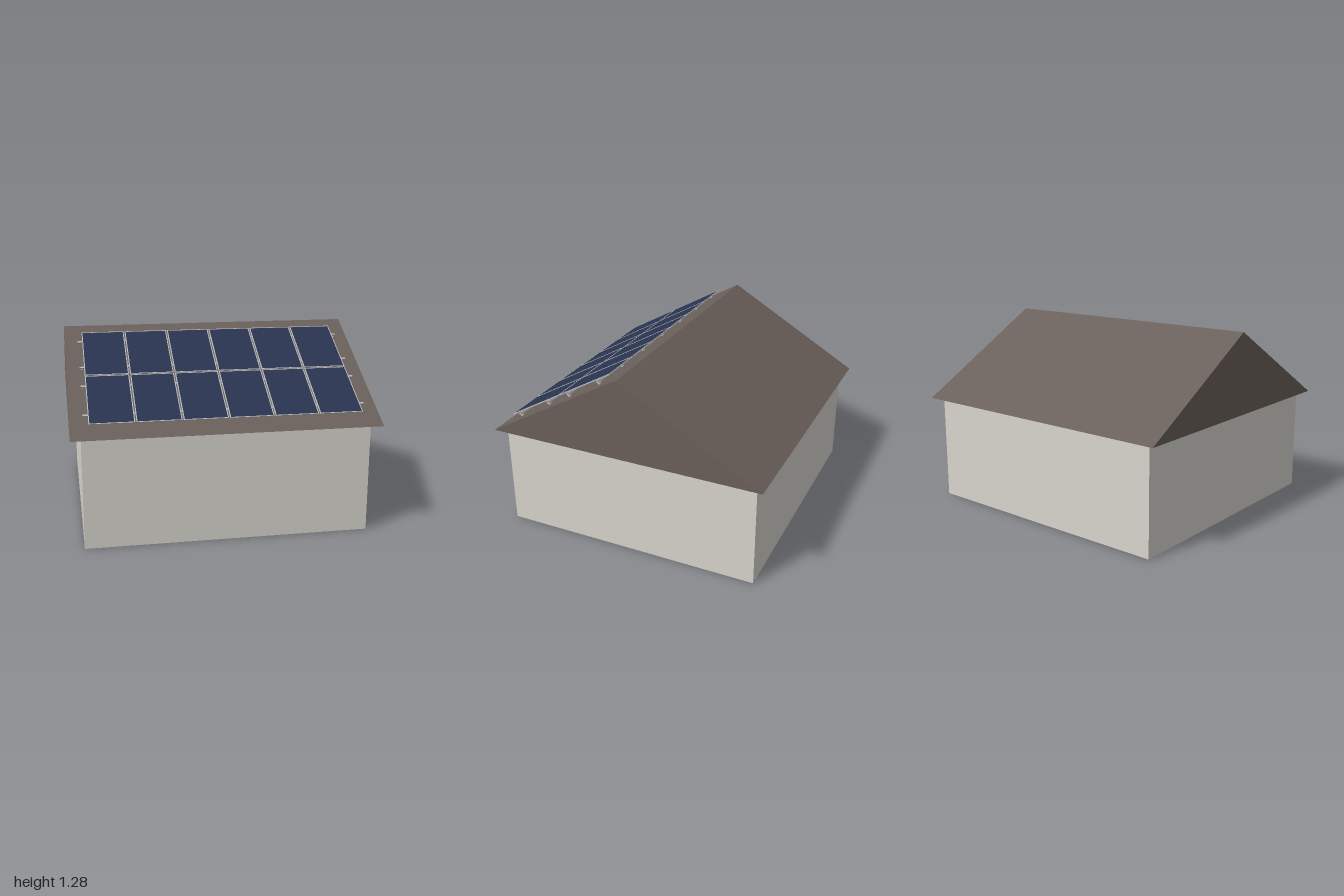
import * as THREE from 'three';

const mat = (color) => new THREE.MeshStandardMaterial({ color });

export function createModel() {
  const model = new THREE.Group();
  const wallMat = mat(0xd8d5cd), roofMat = mat(0x6b605b), cellMat = mat(0x2a3450), metalMat = mat(0xb8b8b8);

  const add = (parent, name, geometry, material, x = 0, y = 0, z = 0) => {
    const mesh = new THREE.Mesh(geometry, material);
    mesh.name = name;
    mesh.position.set(x, y, z);
    parent.add(mesh);
    return mesh;
  };
  const box = (w, h, d) => new THREE.BoxGeometry(w, h, d);

  const eaveY = 0.727, pitch = Math.PI / 6, halfSpan = 0.963;
  const ridgeY = eaveY + halfSpan * Math.tan(pitch);

  // House body
  add(model, 'walls', box(1.866, eaveY, 1.81), wallMat, 0, eaveY / 2, 0);

  // Gable roof: solid prism along x
  const gable = new THREE.Shape([
    new THREE.Vector2(-halfSpan, eaveY),
    new THREE.Vector2(halfSpan, eaveY),
    new THREE.Vector2(0, ridgeY),
  ]);
  const roof = new THREE.ExtrudeGeometry(gable, { depth: 2, bevelEnabled: false });
  roof.translate(0, 0, -1).rotateY(Math.PI / 2);
  add(model, 'roof', roof, roofMat);

  // Solar array: local y is the front slope's normal, local z runs down the slope
  const array = new THREE.Group();
  array.name = 'solarArray';
  array.position.y = ridgeY;
  array.rotation.x = pitch;
  model.add(array);

  const panelW = 0.287, panelL = 0.44, stepX = 0.2955, rim = 0.006;
  const frameShape = new THREE.Shape();
  const rect = (path, w, l) => path
    .moveTo(-w / 2, -l / 2).lineTo(w / 2, -l / 2).lineTo(w / 2, l / 2).lineTo(-w / 2, l / 2).closePath();
  rect(frameShape, panelW, panelL);
  const opening = new THREE.Path();
  rect(opening, panelW - 2 * rim, panelL - 2 * rim);
  frameShape.holes.push(opening);
  const frameGeo = new THREE.ExtrudeGeometry(frameShape, { depth: 0.008, bevelEnabled: false });
  frameGeo.rotateX(-Math.PI / 2);
  const cellGeo = box(panelW - 2 * rim, 0.006, panelL - 2 * rim);
  const railGeo = box(1.826, 0.015, 0.013);
  const footGeo = box(0.016, 0.014, 0.016);

  for (const rowZ of [0.337, 0.784]) {
    // Framed panels
    for (let i = 0; i < 6; i++) {
      const x = (i - 2.5) * stepX;
      add(array, 'panelFrame', frameGeo, metalMat, x, 0.027, rowZ);
      add(array, 'panelCells', cellGeo, cellMat, x, 0.031, rowZ);
    }
    // Two rails per row on small feet
    for (const side of [-1, 1]) {
      const z = rowZ + side * 0.132;
      add(array, 'mountingRail', railGeo, metalMat, 0, 0.0195, z);
      for (let i = 0; i < 7; i++) add(array, 'railFoot', footGeo, metalMat, (i - 3) * 0.299, 0.006, z);
    }
  }
  return model;
}
